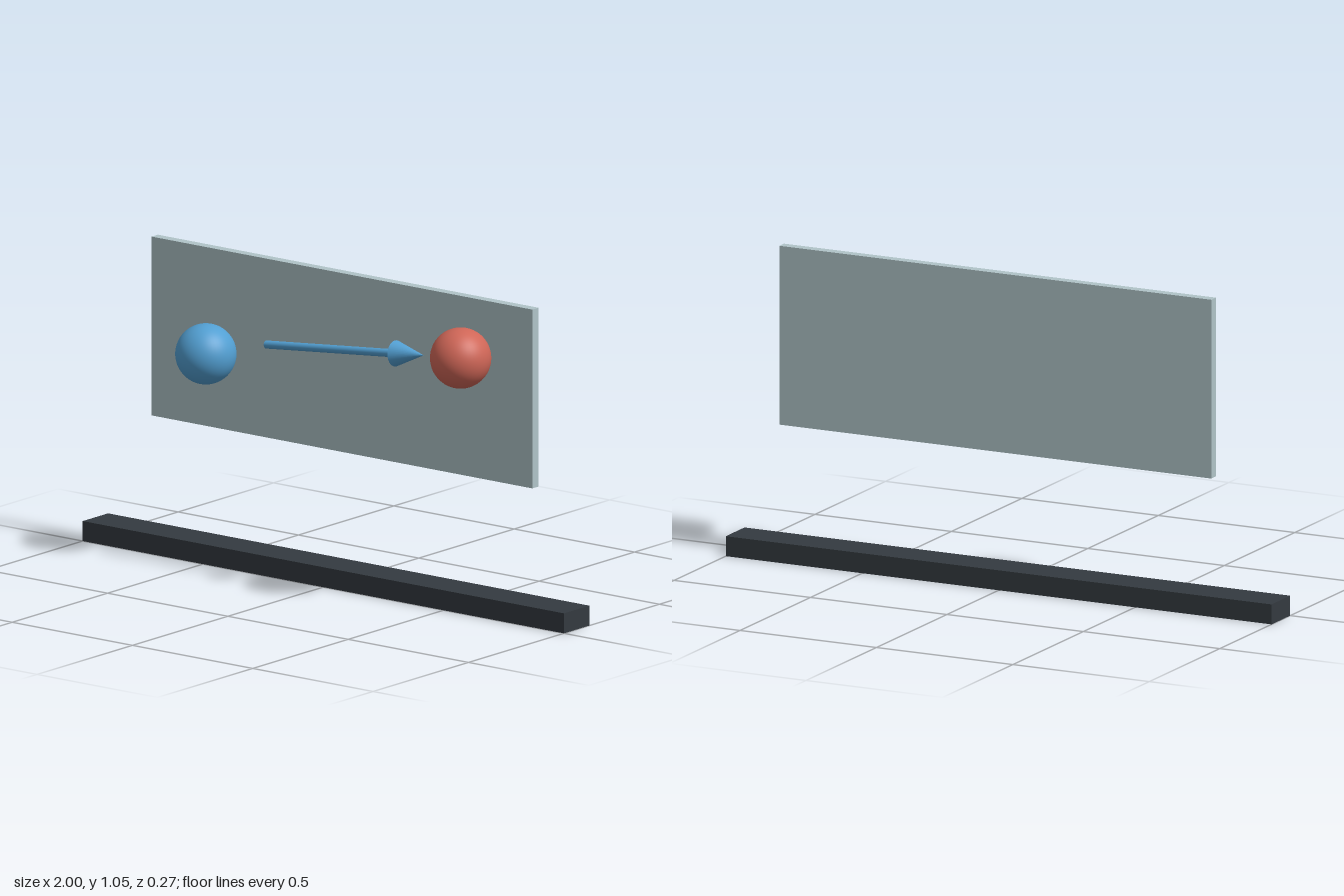
import * as THREE from 'three';

export function createModel() {
  const group = new THREE.Group();
  const material = (name, color) => {
    const m = new THREE.MeshStandardMaterial({ color });
    m.name = name;
    return m;
  };
  const dark = material('charcoal', 0x343a40);
  const pale = material('pale grey blue', 0xb0c4c8);
  const blue = material('blue', 0x529fd2);
  const red = material('red', 0xcf6657);

  const add = (name, geometry, mat, x, y, z, parent = group) => {
    const mesh = new THREE.Mesh(geometry, mat);
    mesh.name = name;
    mesh.position.set(x, y, z);
    parent.add(mesh);
    return mesh;
  };

  // Base bar and floating panel
  add('baseBar', new THREE.BoxGeometry(2, 0.067, 0.133), dark, 0, 0.0335, -0.0665);
  add('panel', new THREE.BoxGeometry(1.583, 0.6, 0.033), pale, 0.038, 0.75, -0.0665);

  // Start and end balls
  const ball = new THREE.SphereGeometry(0.1, 48, 32);
  add('startBall', ball, blue, -0.462, 0.718, 0.033);
  add('endBall', ball, red, 0.597, 0.868, 0.033);

  // Arrow, built along +y from its tail, then tilted toward the end ball
  const arrow = new THREE.Group();
  arrow.name = 'arrow';
  arrow.position.set(-0.199, 0.793, 0.048);
  arrow.rotation.z = Math.atan2(0.065, 0.655) - Math.PI / 2;
  add('arrowShaft', new THREE.CylinderGeometry(0.0133, 0.0133, 0.53, 24), blue, 0, 0.265, 0, arrow);
  add('arrowHead', new THREE.ConeGeometry(0.043, 0.117, 32), blue, 0, 0.599, 0, arrow);
  group.add(arrow);

  return group;
}
